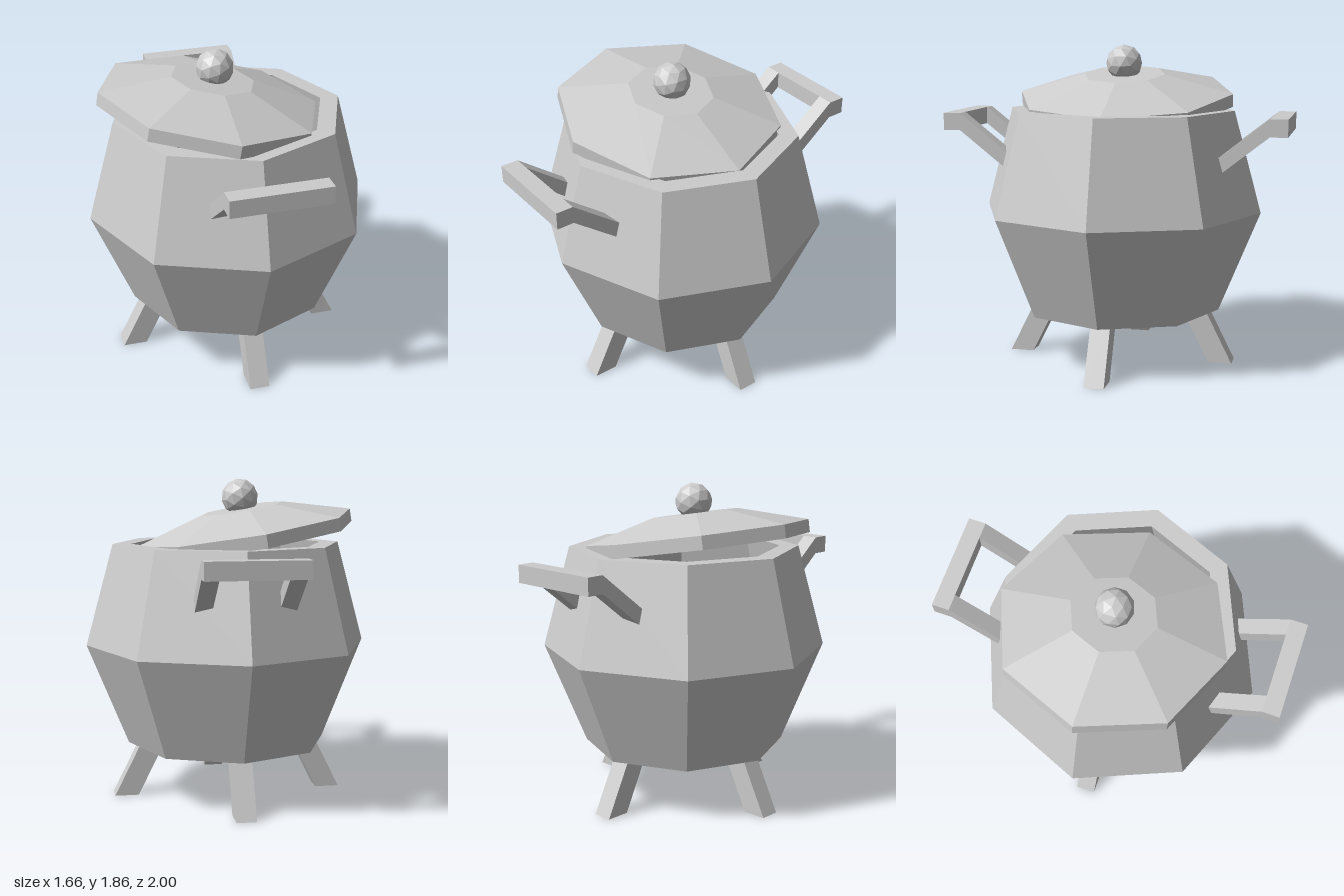
import * as THREE from 'three';

const material = new THREE.MeshStandardMaterial({ color: 0xcccccc, flatShading: true });
const SIDES = 8;

function part(name, geometry, parent) {
  const mesh = new THREE.Mesh(geometry, material);
  mesh.name = name;
  parent.add(mesh);
  return mesh;
}

// Eight-sided turned body from [radius, height] pairs
function turned(profile) {
  return new THREE.LatheGeometry(profile.map(([r, y]) => new THREE.Vector2(r, y)), SIDES);
}

// Side profile of [z, y] pairs, given thickness along x and centred on x
function slab(profile, width, x = 0) {
  const shape = new THREE.Shape(profile.map(([z, y]) => new THREE.Vector2(z, y)));
  const geometry = new THREE.ExtrudeGeometry(shape, { depth: width, bevelEnabled: false });
  return geometry.translate(0, 0, -width / 2).rotateY(-Math.PI / 2).translate(x, 0, 0);
}

export function createModel() {
  const model = new THREE.Group();
  model.name = 'cookingPot';

  // Hollow faceted body: outside, flat rim, then inside down to the floor
  part('potBody', turned([
    [0, 0.18], [0.59, 0.31], [0.83, 0.9], [0.67, 1.49],
    [0.56, 1.49], [0.72, 0.9], [0.5, 0.39], [0, 0.28],
  ]), model);

  // Lid resting askew, one edge dropped inside the rim
  const lid = new THREE.Group();
  lid.name = 'lid';
  lid.position.set(-0.119, 1.504, 0);
  lid.rotation.z = -THREE.MathUtils.degToRad(9.5);
  model.add(lid);
  part('lidDome', turned([[0, 0], [0.645, 0], [0.645, 0.075], [0.245, 0.188], [0, 0.188]]), lid);
  part('lidKnob', new THREE.IcosahedronGeometry(0.108, 1), lid).position.y = 0.255;

  // Splayed legs, one under each quarter
  for (let i = 0; i < 4; i++) {
    const leg = part('leg', slab([[0.54, 0], [0.68, 0], [0.52, 0.32], [0.38, 0.32]], 0.115), model);
    leg.rotation.y = i * Math.PI / 2;
  }

  // Handles at front and back: a crossbar on two sloping arms
  for (let i = 0; i < 2; i++) {
    const handle = new THREE.Group();
    handle.name = i ? 'backHandle' : 'frontHandle';
    handle.rotation.y = i * Math.PI;
    model.add(handle);
    part('handleBar', slab([[0.9, 1.37], [1, 1.37], [1, 1.47], [0.9, 1.47]], 0.56), handle);
    for (const side of [-1, 1]) {
      part('handleArm', slab([[0.62, 1.15], [0.9, 1.37], [0.9, 1.47], [0.6, 1.235]], 0.095, side * 0.2325), handle);
    }
  }

  return model;
}
